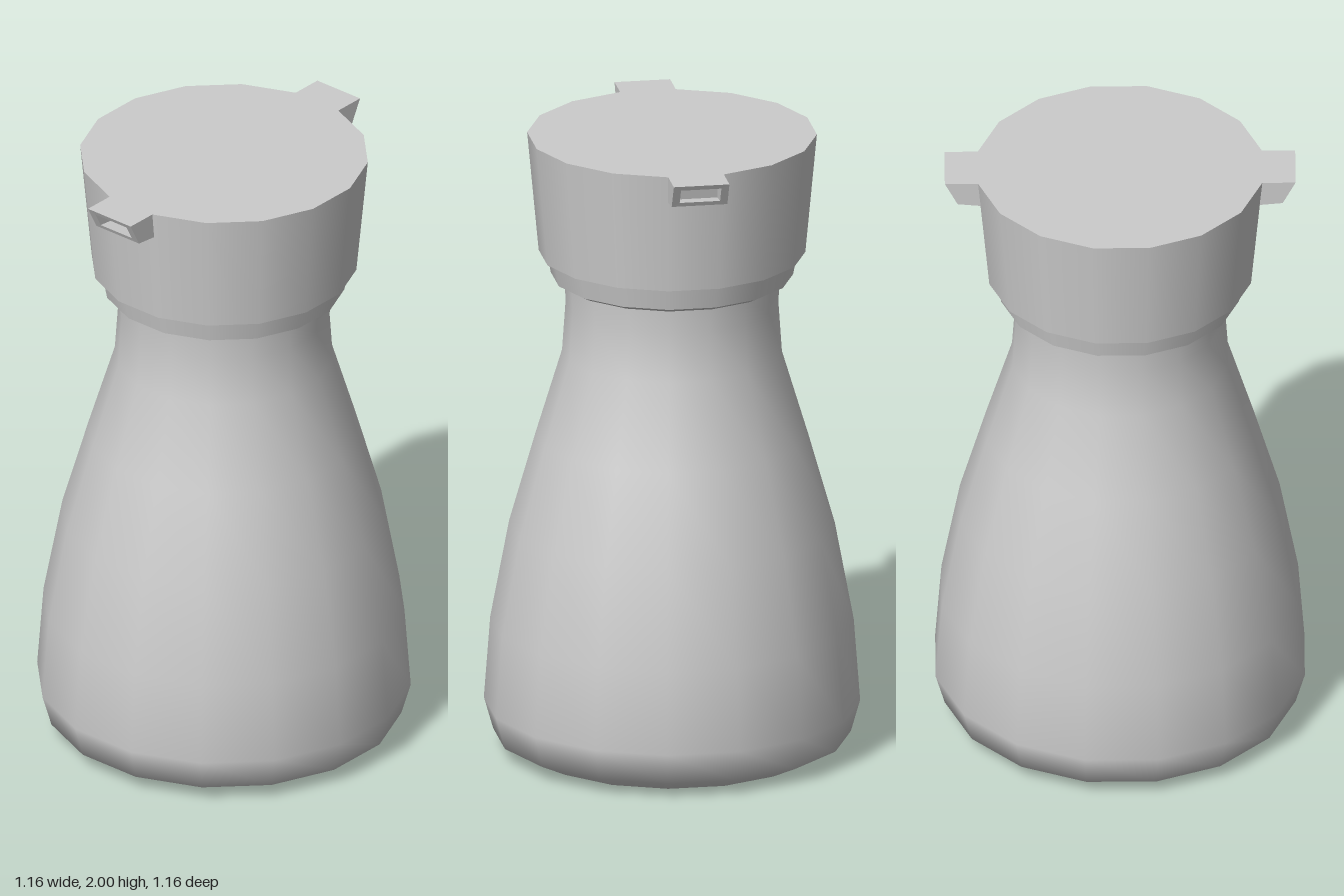
import * as THREE from 'three';

const SIDES = 16;
const material = new THREE.MeshStandardMaterial({ color: 0xcccccc });

// Sixteen-sided turned part, smooth around; a flat side faces +z.
function turned(name, profile) {
  const points = profile.map(([r, y]) => new THREE.Vector2(r, y));
  const mesh = new THREE.Mesh(
    new THREE.LatheGeometry(points, SIDES, Math.PI / SIDES, Math.PI * 2), material);
  mesh.name = name;
  return mesh;
}

// Sharp-edged turned part: every profile segment gets its own normals.
function sharpTurned(name, profile) {
  const group = new THREE.Group();
  group.name = name;
  for (let i = 0; i < profile.length - 1; i++) {
    group.add(turned(name + 'Band' + (i + 1), [profile[i], profile[i + 1]]));
  }
  return group;
}

// Four corners of a tab cross-section, counterclockwise seen from +z.
function section(halfWidth, yBottom, zBottom, yTop, zTop) {
  return [
    [-halfWidth, yBottom, zBottom], [halfWidth, yBottom, zBottom],
    [halfWidth, yTop, zTop], [-halfWidth, yTop, zTop],
  ];
}

// Pouring tab: a short snout with a recessed slot in its slanted face.
function makeTab(name) {
  const rings = [
    section(0.088, 1.915, 0.425, 2.0, 0.443),
    section(0.088, 1.923, 0.507, 2.0, 0.547),
    section(0.064, 1.937, 0.514, 1.985, 0.539),
    section(0.064, 1.932, 0.462, 1.985, 0.475),
  ];
  const positions = [];
  const quad = (a, b, c, d) => positions.push(...a, ...b, ...c, ...a, ...c, ...d);
  for (let r = 0; r < rings.length - 1; r++) {
    for (let i = 0; i < 4; i++) {
      const j = (i + 1) % 4;
      quad(rings[r][i], rings[r][j], rings[r + 1][j], rings[r + 1][i]);
    }
  }
  quad(...rings[3]); // slot floor
  const geometry = new THREE.BufferGeometry();
  geometry.setAttribute('position', new THREE.Float32BufferAttribute(positions, 3));
  geometry.computeVertexNormals();
  const mesh = new THREE.Mesh(geometry, material);
  mesh.name = name;
  return mesh;
}

export function createModel() {
  const carafe = new THREE.Group();
  carafe.name = 'carafe';
  carafe.rotation.y = THREE.MathUtils.degToRad(1.2);

  // Glass body with a soft base edge and a narrow neck
  carafe.add(turned('body', [
    [0.458, 0], [0.558, 0.048], [0.587, 0.15], [0.567, 0.415],
    [0.508, 0.73], [0.425, 1.02], [0.343, 1.29], [0.332, 1.45], [0.336, 1.54],
  ]));
  carafe.add(turned('base', [[0, 0], [0.458, 0]]));

  // Stepped collar under the lid
  carafe.add(sharpTurned('collar', [
    [0.32, 1.528], [0.35, 1.528], [0.378, 1.542], [0.392, 1.615],
  ]));

  // Flared lid with a flat top
  carafe.add(sharpTurned('lid', [
    [0.37, 1.615], [0.416, 1.615], [0.452, 2.0], [0, 2.0],
  ]));

  // Matching tabs at front and back
  const frontTab = makeTab('frontTab');
  const backTab = makeTab('backTab');
  backTab.rotation.y = Math.PI;
  carafe.add(frontTab, backTab);

  const model = new THREE.Group();
  model.add(carafe);
  return model;
}
